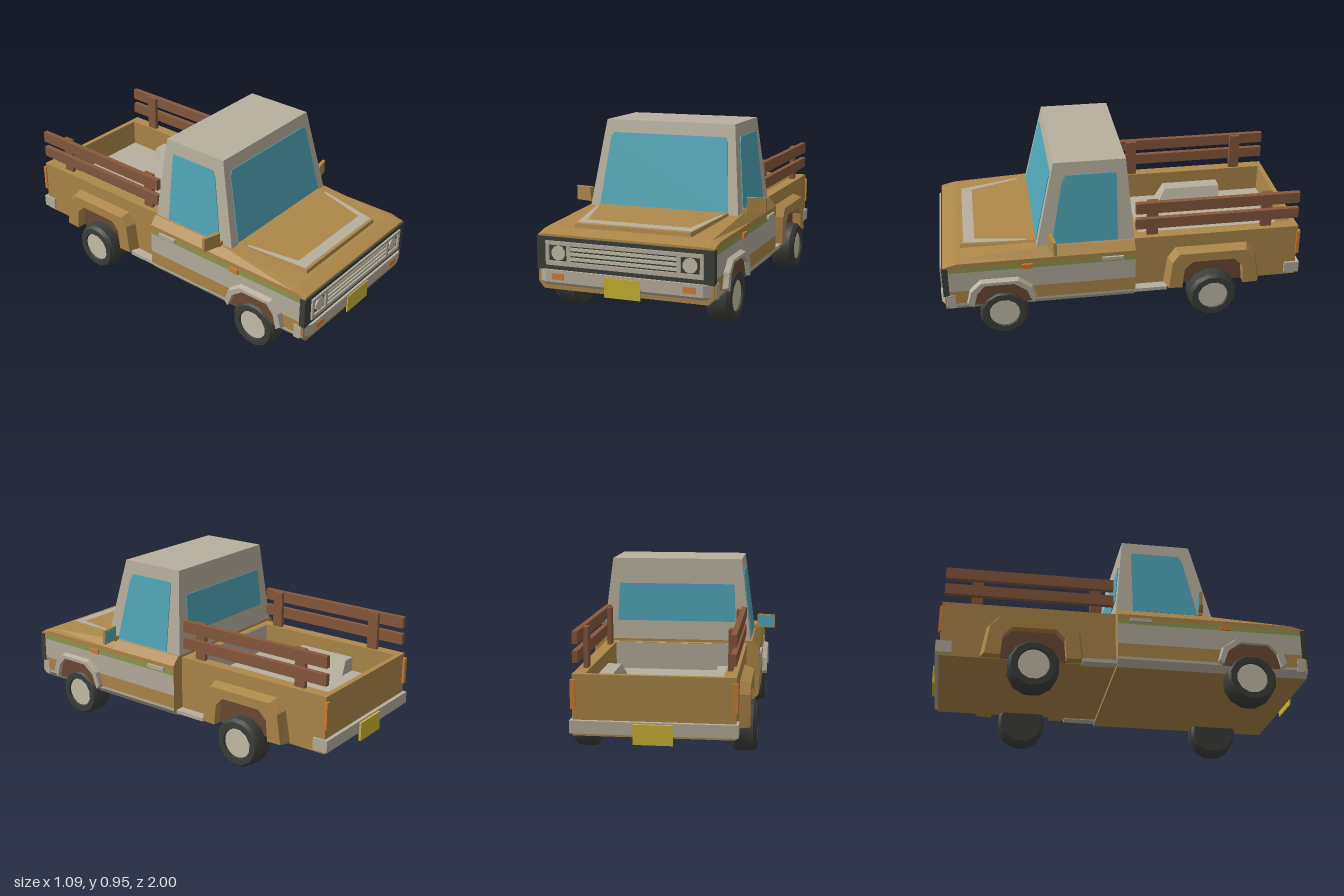
import * as THREE from 'three';
import { toCreasedNormals } from 'three/addons/utils/BufferGeometryUtils.js';

const mat = (name, color) => Object.assign(new THREE.MeshStandardMaterial({ color }), { name });

export function createModel() {
  const root = new THREE.Group();
  root.name = 'pickupTruck';
  const M = {
    ochre: mat('ochrePaint', 0xae884a), grey: mat('warmGrey', 0xb8b09f),
    cream: mat('creamMetal', 0xc6c0ac), glass: mat('tealGlass', 0x4fa6b8),
    dark: mat('darkRubber', 0x3d3f3b), wood: mat('brownWood', 0x87593c),
    well: mat('archBrown', 0x6c4b36), orange: mat('orangeLamp', 0xd08035),
    yellow: mat('yellowPlate', 0xcbb634), green: mat('greenStripe', 0x8c9c52),
  };

  const add = (name, geo, material, parent = root) => {
    const m = new THREE.Mesh(geo, material);
    m.name = name;
    parent.add(m);
    return m;
  };
  // box from its min and max limits
  const box = (name, material, x0, x1, y0, y1, z0, z1) => {
    const g = new THREE.BoxGeometry(Math.abs(x1 - x0), y1 - y0, z1 - z0);
    g.translate((x0 + x1) / 2, (y0 + y1) / 2, (z0 + z1) / 2);
    return add(name, g, material);
  };
  const pair = (name, material, x0, x1, ...rest) => {
    for (const s of [1, -1]) box((s > 0 ? 'left ' : 'right ') + name, material, s * x0, s * x1, ...rest);
  };

  // closed solid through rings of points; bandOf picks the material of each side strip
  function loft(rings, bandOf = () => 0) {
    const lists = [];
    const put = (k, ...pts) => (lists[k] ??= []).push(pts);
    const n = rings[0].length, last = rings[rings.length - 1];
    for (let i = 0; i + 1 < rings.length; i++) {
      for (let j = 0; j < n; j++) {
        const k = (j + 1) % n, [p, q] = [rings[i], rings[i + 1]];
        put(bandOf(j), p[j], p[k], q[k]);
        put(bandOf(j), p[j], q[k], q[j]);
      }
    }
    for (let k = 1; k + 1 < n; k++) {
      put(0, rings[0][0], rings[0][k + 1], rings[0][k]);
      put(0, last[0], last[k], last[k + 1]);
    }
    // turn the faces outward using the signed volume
    const v = (p) => new THREE.Vector3(...p), o = v(rings[0][0]);
    let vol = 0;
    lists.flat().forEach(([a, b, c]) => { vol += v(a).sub(o).dot(v(b).sub(o).cross(v(c).sub(o))); });
    const geo = new THREE.BufferGeometry(), pos = [];
    lists.forEach((tris, k) => {
      geo.addGroup(pos.length / 3, tris.length * 3, k);
      tris.forEach(([a, b, c]) => pos.push(...a, ...(vol < 0 ? [...c, ...b] : [...b, ...c])));
    });
    geo.setAttribute('position', new THREE.Float32BufferAttribute(pos, 3));
    geo.computeVertexNormals();
    if (lists.length === 1) geo.clearGroups();
    return geo;
  }
  // thin plate: outline pushed a little along a direction
  const panel = (name, material, pts, [dx, dy, dz]) => add(name, loft([-1, 1].map((s) =>
    pts.map(([x, y, z]) => [x + s * dx, y + s * dy, z + s * dz]))), material);

  // cab body and hood, painted in level bands
  const hoodY = (z) => (z < 0.4 ? 0.505 : z < 0.9 ? 0.505 - 0.08 * (z - 0.4) : 0.465 - 0.25 * (z - 0.9));
  const section = (z, topX, bottomX) => {
    const top = hoodY(z), shoulder = Math.min(0.46, top - 0.006);
    const half = [[bottomX, 0.165], [0.47, 0.2], [0.47, 0.215], [0.47, 0.29], [0.47, 0.405],
      [0.47, z > 0.9 ? 0.41 : 0.43], [0.47, shoulder], [topX, top]];
    return [...half, ...half.map(([x, y]) => [-x, y]).reverse()].map(([x, y]) => [x, y, z]);
  };
  const bands = [1, 1, 0, 1, 2, 0, 0];
  add('cabBody', loft([section(-0.05, 0.43, 0.44), section(0.4, 0.43, 0.44), section(0.9, 0.43, 0.44),
    section(0.975, 0.44, 0.44)], (j) => (j < 7 ? bands[j] : j > 7 && j < 15 ? bands[14 - j] : 0)),
  [M.ochre, M.grey, M.green]);

  // raised hood panel with a U-shaped stripe
  const scoopY = (z) => 0.512 - (z - 0.47) * 0.06;
  const scoop = (z, w) => [[w, hoodY(z) - 0.01, z], [w - 0.01, scoopY(z), z - 0.005],
    [-w + 0.01, scoopY(z), z - 0.005], [-w, hoodY(z) - 0.01, z]];
  add('hoodPanel', loft([scoop(0.48, 0.375), scoop(0.88, 0.32)]), M.ochre);
  const u = [[0.36, 0.53], [0.308, 0.86], [-0.308, 0.86], [-0.36, 0.53], [-0.345, 0.53], [-0.28, 0.8], [0.28, 0.8], [0.345, 0.53]];
  const stripe = new THREE.ShapeGeometry(new THREE.Shape(u.map(([x, z]) => new THREE.Vector2(x, -z))));
  stripe.rotateX(-Math.PI / 2);
  const sp = stripe.attributes.position;
  for (let i = 0; i < sp.count; i++) sp.setY(i, scoopY(sp.getZ(i)) + 0.003);
  add('hoodStripe', stripe, M.grey);

  // tapered cabin and its windows
  const T = (y) => (y - 0.5) / 0.46;
  const cx = (y) => 0.42 - 0.055 * T(y), front = (y) => 0.475 - 0.105 * T(y), back = (y) => -0.05 + 0.04 * T(y);
  add('cabin', loft([0.5, 0.96].map((y) => [[cx(y), y, front(y)], [cx(y), y, back(y)],
    [-cx(y), y, back(y)], [-cx(y), y, front(y)]])), M.grey);
  const shield = [[0.365, 0.512], [0.332, 0.87], [0.318, 0.893], [-0.318, 0.893], [-0.332, 0.87], [-0.365, 0.512]];
  panel('windshield', M.glass, shield.map(([x, y]) => [x, y, front(y)]), [0, 0, 0.004]);
  const rear = [[0.335, 0.61], [0.325, 0.82], [-0.325, 0.82], [-0.335, 0.61]];
  panel('rearWindow', M.glass, rear.map(([x, y]) => [x, y, back(y)]), [0, 0, 0.004]);
  for (const s of [1, -1]) {
    const side = [[0.395, 0.51], [0.33, 0.85], [0.31, 0.89], [0.045, 0.89], [0.04, 0.87], [0.04, 0.51]];
    panel('sideWindow', M.glass, side.map(([z, y]) => [s * cx(y), y, z]), [0.004, 0, 0]);
  }

  // grille, slats and headlights
  box('grillePanel', M.dark, -0.473, 0.473, 0.265, 0.435, 0.95, 0.982);
  for (const [y0, y1] of [[0.292, 0.314], [0.396, 0.415]]) box('grilleFrameBar', M.grey, -0.42, 0.42, y0, y1, 0.97, 0.992);
  pair('grilleFrameEnd', M.grey, 0.402, 0.42, 0.292, 0.415, 0.97, 0.992);
  pair('grilleFrameDivider', M.grey, 0.284, 0.304, 0.292, 0.415, 0.97, 0.992);
  for (const y of [0.33, 0.355, 0.38]) box('grilleSlat', M.cream, -0.284, 0.284, y - 0.008, y + 0.008, 0.97, 0.989);
  for (const s of [1, -1]) {
    const lamp = new THREE.CylinderGeometry(0.038, 0.038, 0.02, 10).toNonIndexed();
    lamp.rotateX(Math.PI / 2).translate(s * 0.351, 0.355, 0.98);
    lamp.computeVertexNormals();
    add('headlight', lamp, M.cream);
  }

  // bumpers, lamps and plates
  const bumper = (y, g = 0) => [[0.475, y, 0.92], [0.475, y, 0.965 - g], [0.42, y, 0.995 - g],
    [-0.42, y, 0.995 - g], [-0.475, y, 0.965 - g], [-0.475, y, 0.92]];
  add('frontBumper', loft([bumper(0.19, 0.012), bumper(0.205), bumper(0.268)]), M.grey);
  box('rearBumper', M.grey, -0.412, 0.412, 0.2, 0.265, -0.988, -0.905);
  pair('turnSignal', M.orange, 0.318, 0.385, 0.22, 0.252, 0.99, 0.998);
  pair('sideMarker', M.orange, 0.465, 0.48, 0.405, 0.432, 0.505, 0.56);
  pair('tailLight', M.orange, 0.383, 0.408, 0.32, 0.465, -0.98, -0.962);
  box('frontPlate', M.yellow, -0.096, 0.096, 0.156, 0.257, 0.992, 1);
  box('rearPlate', M.yellow, -0.098, 0.098, 0.156, 0.257, -1, -0.986);
  pair('doorHandle', M.grey, 0.465, 0.482, 0.418, 0.438, 0.015, 0.13);

  // door mirrors
  for (const s of [1, -1]) {
    const outline = (y) => [[s * 0.44, y, 0.395], [s * 0.545, y, 0.38], [s * 0.545, y, 0.395], [s * 0.45, y, 0.42]];
    add('mirror', loft([outline(0.51), outline(0.588)]), M.ochre);
    panel('mirrorGlass', M.glass, [[0.447, 0.517], [0.538, 0.517], [0.538, 0.581], [0.447, 0.581]]
      .map(([x, y]) => [s * x, y, 0.395 - (x - 0.44) * 0.143]), [0, 0, 0.003]);
  }
  pair('mirrorArm', M.ochre, 0.4, 0.45, 0.5, 0.525, 0.395, 0.415);

  // cargo bed
  pair('bedWall', M.ochre, 0.337, 0.4, 0.185, 0.492, -0.968, -0.05);
  box('tailgate', M.ochre, -0.337, 0.337, 0.185, 0.492, -0.968, -0.94);
  box('bedFrontWall', M.ochre, -0.337, 0.337, 0.185, 0.492, -0.085, -0.05);
  box('bedFrontLining', M.grey, -0.337, 0.337, 0.34, 0.49, -0.09, -0.085);
  box('bedBase', M.ochre, -0.337, 0.337, 0.185, 0.335, -0.94, -0.085);
  box('bedFloor', M.grey, -0.337, 0.337, 0.335, 0.34, -0.94, -0.09);
  pair('sideStep', M.grey, 0.39, 0.45, 0.18, 0.2, -0.23, -0.05);
  for (const s of [1, -1]) {
    const hump = (y, x, z) => [[s * 0.338, y, -0.68], [s * x, y, -0.68], [s * x, y, z], [s * 0.338, y, z]];
    add('wheelHump', loft([hump(0.335, 0.23, -0.3), hump(0.42, 0.262, -0.35)]), M.grey);
  }

  // wooden side rails
  for (const [y0, y1] of [[0.545, 0.605], [0.638, 0.7]]) pair('railPlank', M.wood, 0.37, 0.398, y0, y1, -0.962, -0.062);
  for (const z of [-0.157, -0.79]) pair('railPost', M.wood, 0.348, 0.372, 0.47, 0.698, z - 0.03, z + 0.03);

  // wheel arches: chamfered flare around a dark opening, points as [z, y]
  const arch = (name, material, xIn, xOut, outer, face, inner) => {
    for (const s of [1, -1]) {
      add(name, loft(outer.map((o, i) => [[o, xIn], [face[i], xOut], [inner[i], xOut], [inner[i], xIn]]
        .map(([[z, y], x]) => [s * x, y, z]))), material);
      panel(name + 'Opening', M.well, inner.map(([z, y]) => [s * (xIn + 0.011), y, z]), [0.003, 0, 0]);
    }
  };
  arch('frontFlare', M.grey, 0.46, 0.498,
    [[0.865, 0.215], [0.845, 0.3], [0.785, 0.358], [0.58, 0.358], [0.505, 0.3], [0.48, 0.215]],
    [[0.855, 0.225], [0.835, 0.295], [0.78, 0.345], [0.585, 0.345], [0.513, 0.295], [0.49, 0.225]],
    [[0.825, 0.2], [0.805, 0.28], [0.762, 0.328], [0.605, 0.328], [0.54, 0.28], [0.51, 0.2]]);
  arch('rearFender', M.ochre, 0.392, 0.455,
    [[-0.212, 0.19], [-0.235, 0.36], [-0.28, 0.42], [-0.68, 0.42], [-0.735, 0.36], [-0.765, 0.19]],
    [[-0.24, 0.19], [-0.258, 0.35], [-0.295, 0.4], [-0.665, 0.4], [-0.715, 0.35], [-0.74, 0.19]],
    [[-0.315, 0.187], [-0.325, 0.3], [-0.37, 0.348], [-0.6, 0.348], [-0.648, 0.3], [-0.658, 0.187]]);

  // wheels with recessed hubs
  const tyre = [[0.12, -0.065], [0.135, -0.05], [0.135, 0.045], [0.12, 0.065], [0.086, 0.065], [0.08, 0.045]];
  for (const z of [0.665, -0.485]) for (const s of [1, -1]) {
    const wheel = new THREE.Group();
    wheel.name = z > 0 ? 'frontWheel' : 'rearWheel';
    wheel.position.set(s * 0.42, 0.136, z);
    root.add(wheel);
    const rings = tyre.map(([r, x]) => Array.from({ length: 12 }, (_, i) => {
      const a = (i + 0.5) * Math.PI / 6;
      return [s * x, r * Math.sin(a), r * Math.cos(a)];
    }));
    add('tyre', toCreasedNormals(loft(rings), 0.6), M.dark, wheel);
    const hub = new THREE.CylinderGeometry(0.083, 0.083, 0.02, 12);
    hub.rotateZ(Math.PI / 2).translate(s * 0.045, 0, 0);
    add('hub', hub, M.cream, wheel);
  }
  return root;
}
